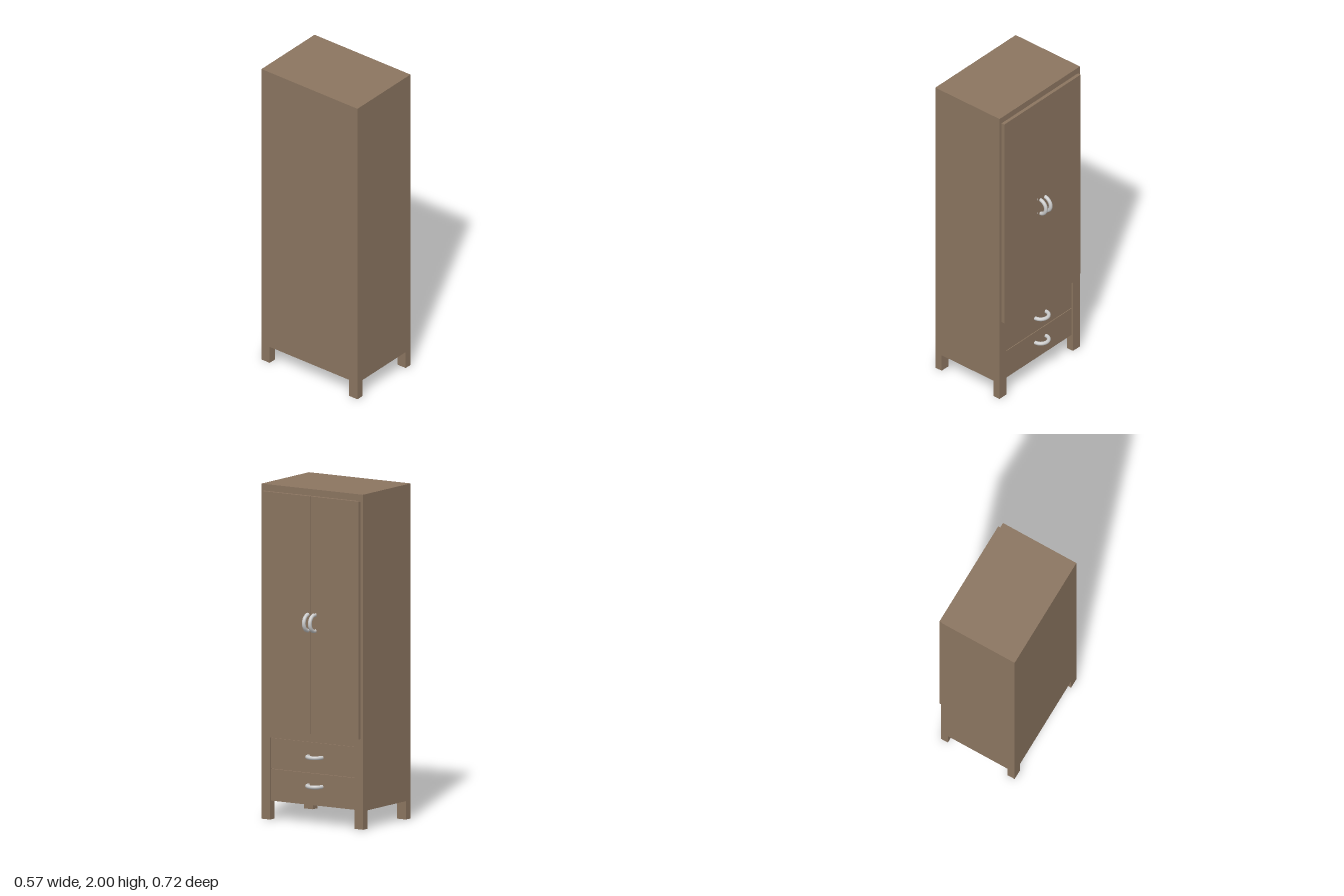
import * as THREE from 'three';

const wood = new THREE.MeshStandardMaterial({ color: 0x8b7560 });
const metal = new THREE.MeshStandardMaterial({ color: 0xcccccc });

export function createModel() {
  const cabinet = new THREE.Group();
  cabinet.name = 'cabinet';

  function add(name, geometry, material = wood) {
    const mesh = new THREE.Mesh(geometry, material);
    mesh.name = name;
    cabinet.add(mesh);
    return mesh;
  }

  // Box given by its limits on each axis
  function box(name, x0, x1, y0, y1, z0, z1) {
    const mesh = add(name, new THREE.BoxGeometry(x1 - x0, y1 - y0, z1 - z0));
    mesh.position.set((x0 + x1) / 2, (y0 + y1) / 2, (z0 + z1) / 2);
  }

  const rectangle = (Type, z0, z1, y0, y1) => new Type([
    new THREE.Vector2(-z0, y0), new THREE.Vector2(-z1, y0),
    new THREE.Vector2(-z1, y1), new THREE.Vector2(-z0, y1),
  ]);

  // Board facing +x, cut from a shape drawn in (-z, y)
  function board(name, shape, x0, x1) {
    const geometry = new THREE.ExtrudeGeometry(shape, { depth: x1 - x0, bevelEnabled: false });
    add(name, geometry.rotateY(Math.PI / 2).translate(x0, 0, 0));
  }

  // Body, with a face frame open below for the drawers
  box('carcass', -0.29, 0.19, 0.11, 2, -0.362, 0.362);
  board('faceFrame', new THREE.Shape([
    [-0.362, 0.11], [-0.3, 0.11], [-0.3, 0.49], [0.3, 0.49],
    [0.3, 0.11], [0.362, 0.11], [0.362, 2], [-0.362, 2],
  ].map(([z, y]) => new THREE.Vector2(z, y))), 0.19, 0.21);

  // Legs
  for (const [x0, x1] of [[-0.29, -0.24], [0.165, 0.21]]) {
    box('leg', x0, x1, 0, 0.11, -0.362, -0.3);
    box('leg', x0, x1, 0, 0.11, 0.3, 0.362);
  }

  // Drawer fronts, set slightly back
  box('lowerDrawer', 0.18, 0.202, 0.113, 0.302, -0.297, 0.297);
  box('upperDrawer', 0.18, 0.202, 0.307, 0.487, -0.297, 0.297);

  // Framed doors with sunken panels
  for (const [z0, z1, p0, p1] of [
    [0.001, 0.343, 0.04, 0.328], [-0.345, -0.001, -0.33, -0.034],
  ]) {
    const frame = rectangle(THREE.Shape, z0, z1, 0.54, 1.96);
    frame.holes.push(rectangle(THREE.Path, p0, p1, 0.585, 1.908));
    board('doorFrame', frame, 0.21, 0.231);
    box('doorPanel', 0.205, 0.217, 0.585, 1.908, p0, p1);
  }

  // Curved handles: upright on the doors, level on the drawers
  const bow = () => new THREE.TorusGeometry(0.048, 0.0115, 12, 32, Math.PI * 1.1)
    .rotateZ(-Math.PI * 0.55);
  for (const z of [0.017, -0.026]) {
    add('doorHandle', bow(), metal).position.set(0.225, 1.205, z);
  }
  for (const y of [0.228, 0.402]) {
    add('drawerHandle', bow().rotateX(Math.PI / 2), metal).position.set(0.203, y, -0.017);
  }

  return cabinet;
}
